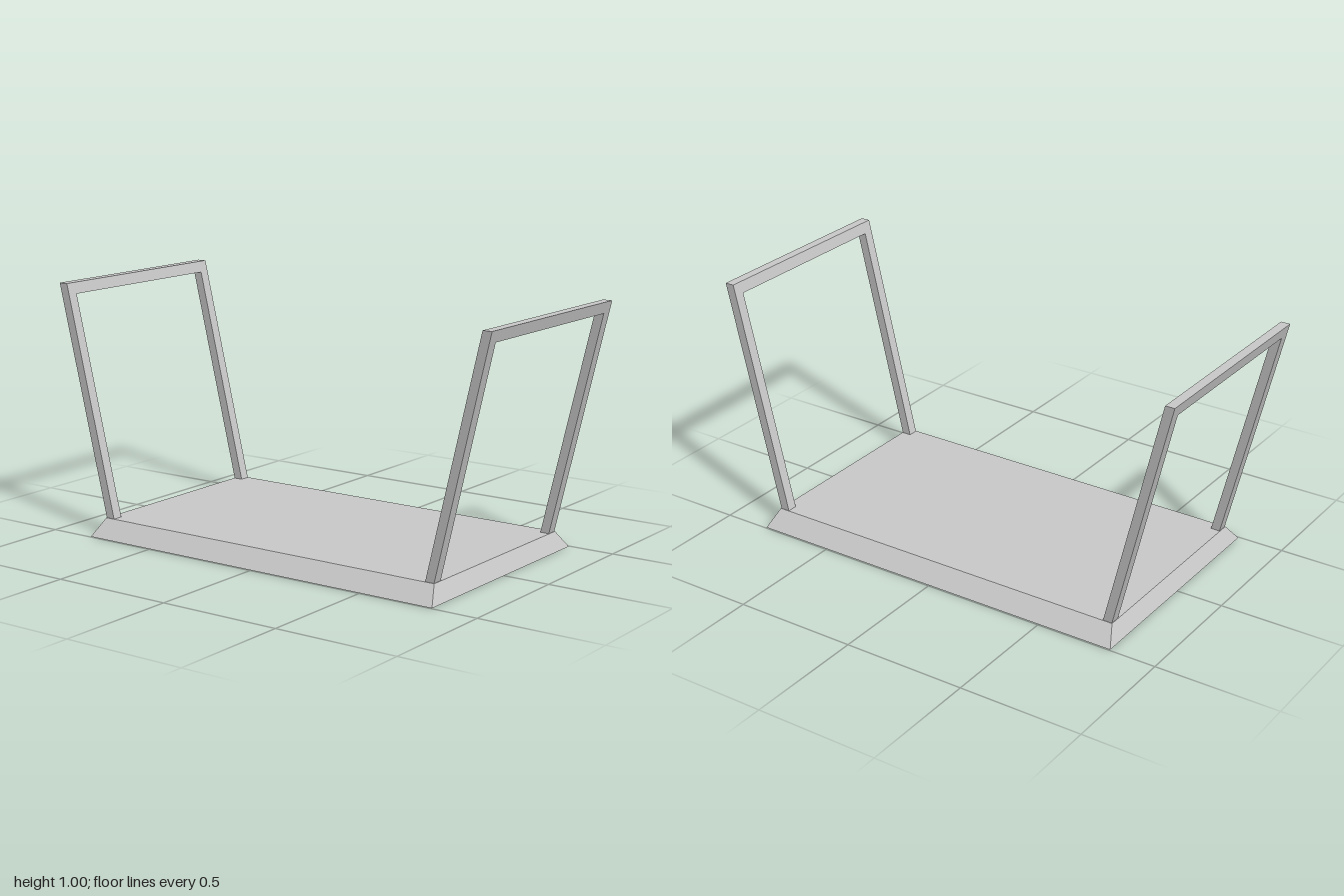
import * as THREE from 'three';

const BASE_TOP = 0.07;

export function createModel() {
  const model = new THREE.Group();
  const material = new THREE.MeshStandardMaterial({ color: 0xcccccc, flatShading: true });

  // Base slab: a box whose top edges are drawn in to form bevelled sides
  const slab = new THREE.BoxGeometry(0.99, BASE_TOP, 1.62);
  slab.translate(0, BASE_TOP / 2, 0);
  const p = slab.attributes.position;
  for (let i = 0; i < p.count; i++) {
    if (p.getY(i) > 0.01) {
      p.setX(i, Math.sign(p.getX(i)) * 0.435);
      p.setZ(i, Math.sign(p.getZ(i)) * 0.78);
    }
  }
  slab.computeVertexNormals();
  const base = new THREE.Mesh(slab, material);
  base.name = 'base';
  model.add(base);

  // End frame: two posts and a top bar, extruded and then sheared outwards
  const outline = new THREE.Shape([
    [-0.433, BASE_TOP], [-0.39, BASE_TOP], [-0.39, 0.955], [0.39, 0.955],
    [0.39, BASE_TOP], [0.433, BASE_TOP], [0.433, 1], [-0.433, 1],
  ].map(([x, y]) => new THREE.Vector2(x, y)));
  const frame = new THREE.ExtrudeGeometry(outline, { depth: 0.038, bevelEnabled: false });
  const lean = (1 - 0.778) / (1 - BASE_TOP);
  const f = frame.attributes.position;
  for (let i = 0; i < f.count; i++) {
    f.setZ(i, f.getZ(i) + 0.74 + (f.getY(i) - BASE_TOP) * lean);
  }
  frame.computeVertexNormals();

  // The same frame stands at both ends
  ['frontFrame', 'backFrame'].forEach((name, i) => {
    const mesh = new THREE.Mesh(frame, material);
    mesh.name = name;
    mesh.rotation.y = i * Math.PI;
    model.add(mesh);
  });

  return model;
}
